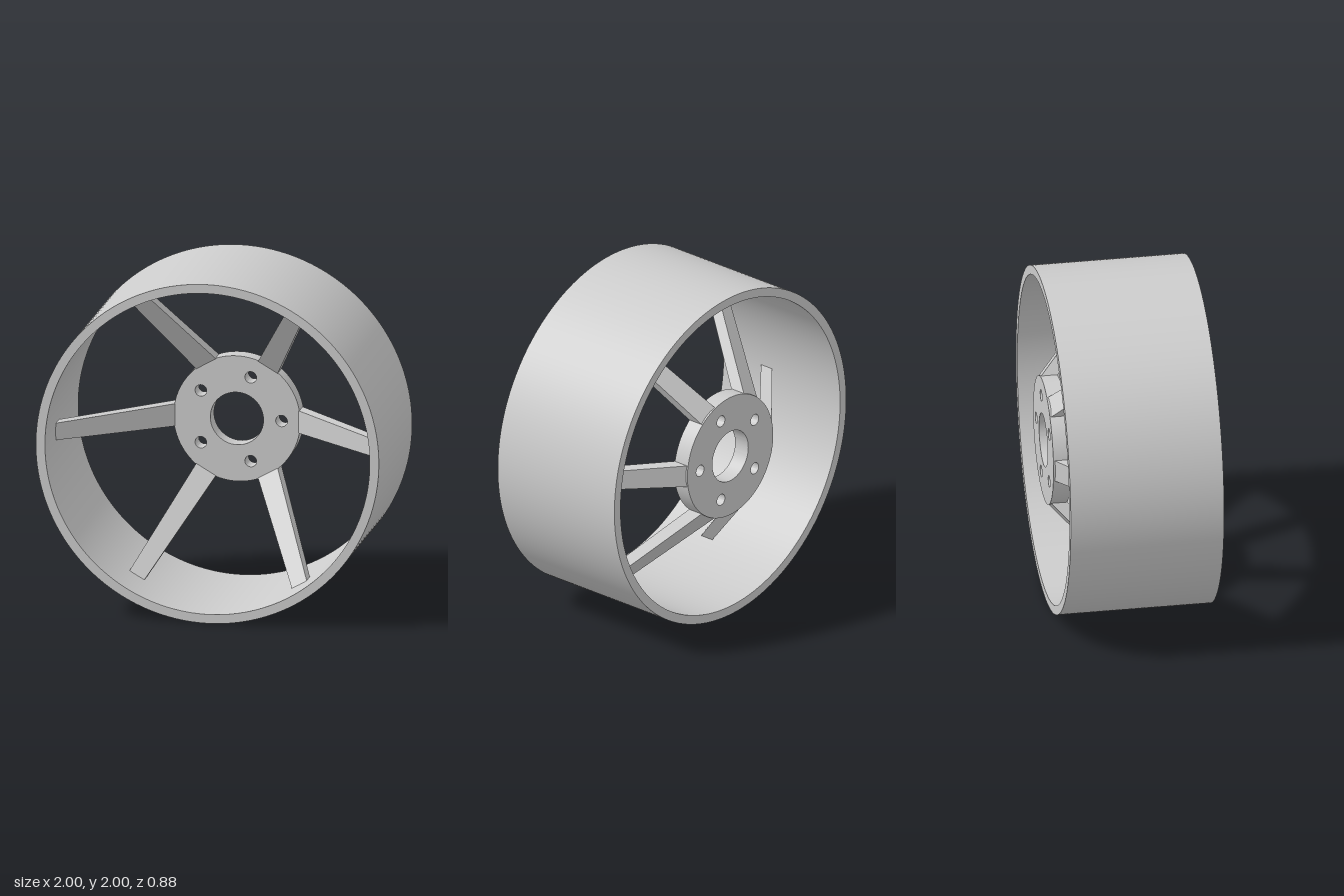
import * as THREE from 'three';
import { toCreasedNormals } from 'three/addons/utils/BufferGeometryUtils.js';

const metal = new THREE.MeshStandardMaterial({ color: 0xcccccc });
metal.name = 'grey metal';

// Disc with round holes given as [x, y, radius], spanning z0 to z1
function drilledDisc(radius, holes, z0, z1, segments) {
  const shape = new THREE.Shape().absarc(0, 0, radius, 0, Math.PI * 2, false);
  for (const [x, y, r] of holes) {
    shape.holes.push(new THREE.Path().absarc(x, y, r, 0, Math.PI * 2, true));
  }
  const geo = new THREE.ExtrudeGeometry(shape, {
    depth: z1 - z0, bevelEnabled: false, curveSegments: segments,
  });
  geo.translate(0, 0, z0);
  return toCreasedNormals(geo, 0.6);
}

// Tapered bar along +x, rising forward from the hub to the rim
function spokeGeometry() {
  const inner = { x: 0.358, half: 0.066, back: -0.44, front: -0.345 };
  const outer = { x: 0.95, half: 0.05, back: 0.075, front: 0.16 };
  const geo = new THREE.BoxGeometry(1, 1, 1).toNonIndexed();
  const p = geo.attributes.position;
  for (let i = 0; i < p.count; i++) {
    const end = p.getX(i) < 0 ? inner : outer;
    p.setXYZ(i, end.x, Math.sign(p.getY(i)) * end.half, p.getZ(i) < 0 ? end.back : end.front);
  }
  geo.computeVertexNormals();
  return geo;
}

export function createModel() {
  const wheel = new THREE.Group();
  wheel.name = 'wheel';
  const add = (name, geo) => {
    const mesh = new THREE.Mesh(geo, metal);
    mesh.name = name;
    mesh.position.y = 1;
    wheel.add(mesh);
    return mesh;
  };

  // Wide thin barrel
  add('rim', drilledDisc(1, [[0, 0, 0.947]], -0.442, 0.442, 96));

  // Hub plate at the back with a centre bore and five bolt holes
  const holes = [[0, 0, 0.155]];
  for (let i = 0; i < 5; i++) {
    const a = (i / 5) * Math.PI * 2;
    holes.push([0.26 * Math.cos(a), 0.26 * Math.sin(a), 0.034]);
  }
  add('hub', drilledDisc(0.37, holes, -0.442, -0.343, 48));

  // Six spokes
  const spoke = spokeGeometry();
  for (let i = 0; i < 6; i++) {
    add('spoke', spoke).rotation.z = (i / 6) * Math.PI * 2;
  }
  return wheel;
}
